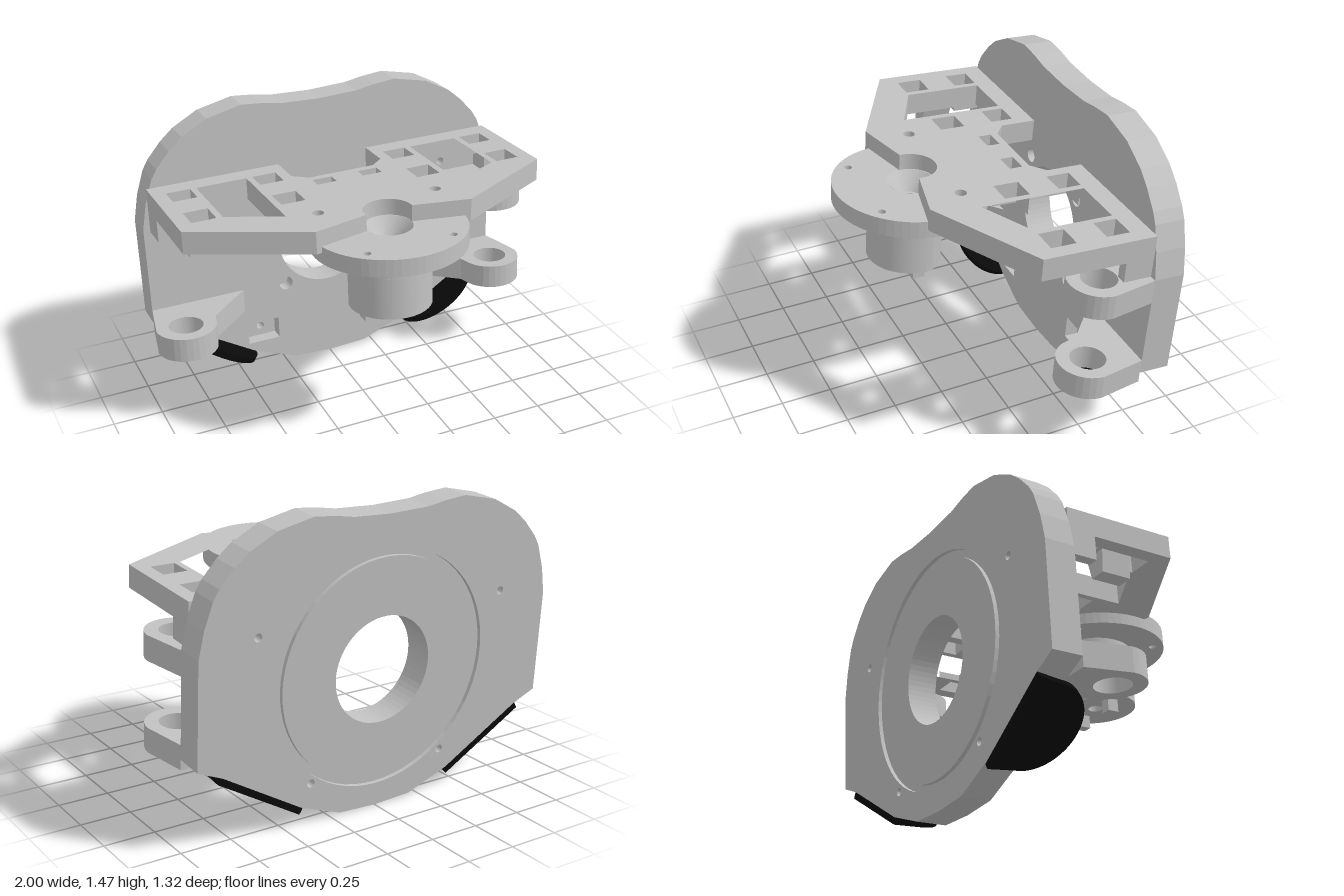
import * as THREE from 'three';

const grey = new THREE.MeshStandardMaterial({ color: 0xc0c0c0 });
grey.name = 'light grey';
const black = new THREE.MeshStandardMaterial({ color: 0x0a0a0a });
black.name = 'black';
const greyOpen = grey.clone();
greyOpen.side = THREE.DoubleSide;

const poly = (pts) => new THREE.Shape(pts.map(([x, y]) => new THREE.Vector2(x, y)));
const rect = (x, y, w, h) => poly([[x - w / 2, y - h / 2], [x + w / 2, y - h / 2], [x + w / 2, y + h / 2], [x - w / 2, y + h / 2]]);
const disc = (x, y, r) => new THREE.Shape().absarc(x, y, r, 0, Math.PI * 2, false);
// Half outline from the centre line at the bottom to the top, mirrored in x
const mirrored = (half) => poly([...half, ...half.slice().reverse().filter(([x]) => x !== 0).map(([x, y]) => [-x, y])]);

function add(group, name, geometry, material = grey) {
  const mesh = new THREE.Mesh(geometry, material);
  mesh.name = name;
  group.add(mesh);
  return mesh;
}

// Upright slab: shape in x, y, reaching from z0 to z1
function upright(shape, holes, z0, z1) {
  shape.holes.push(...holes);
  return new THREE.ExtrudeGeometry(shape, { depth: z1 - z0, bevelEnabled: false, curveSegments: 32 }).translate(0, 0, z0);
}

// Level slab: shape in x, -z, reaching from y0 to y1
function level(shape, holes, y0, y1) {
  return upright(shape, holes, y0, y1).rotateX(-Math.PI / 2);
}

const OUTLINE = [[0, 0], [0.2, 0.01], [0.42, 0.095], [0.83, 0.345], [0.955, 0.4], [0.955, 0.91],
  [0.93, 1.04], [0.89, 1.16], [0.86, 1.21], [0.79, 1.29], [0.72, 1.35], [0.59, 1.42],
  [0.41, 1.46], [0.3, 1.45], [0.2, 1.433], [0, 1.425]];
const CY = 0.69; // height of the central opening

function addBackPlate(g) {
  const plate = new THREE.Group();
  plate.name = 'backPlate';
  const screws = () => [-1, 1].flatMap((s) => [disc(s * 0.37, 0.205, 0.02), disc(s * 0.67, 0.965, 0.02)]);
  const bore = () => disc(0, CY, 0.26);

  // Front layer with nut pockets and blind bolt holes
  const front = [bore()];
  for (const s of [-1, 1]) {
    front.push(rect(s * 0.375, 0.208, 0.17, 0.115), disc(s * 0.67, 0.965, 0.02));
    for (const d of [-0.235, 0.235]) front.push(disc(s * 0.235, CY + d, 0.036));
  }
  add(plate, 'plateFront', upright(mirrored(OUTLINE), front, -0.07, 0));
  add(plate, 'plateCore', upright(mirrored(OUTLINE), [bore(), ...screws()], -0.13, -0.07));

  // Rear layer, split by a ring groove
  add(plate, 'plateRearOuter', upright(mirrored(OUTLINE), [disc(0, CY, 0.575), ...screws()], -0.15, -0.13));
  add(plate, 'plateRearInner', upright(disc(0, CY, 0.54), [bore()], -0.15, -0.13));
  g.add(plate);
}

function addShelf(g) {
  const half = [[0.24, 0], [0.92, 0], [0.92, -0.56], [0.39, -0.845], [0.115, -0.78]];
  const shape = new THREE.Shape();
  shape.moveTo(0.24, 0);
  half.slice(1).forEach(([x, y]) => shape.lineTo(x, y));
  // Round notch around the funnel
  shape.absarc(0, -0.765, 0.116, -0.13, Math.PI + 0.13, false);
  half.slice().reverse().forEach(([x, y]) => shape.lineTo(-x, y));
  // Clearance at the back, with chamfered corners
  [[-0.24, -0.18], [-0.17, -0.24], [0.17, -0.24], [0.24, -0.18]].forEach(([x, y]) => shape.lineTo(x, y));

  const holes = [];
  for (const s of [-1, 1]) {
    for (const x of [0.353, 0.79]) {
      holes.push(rect(s * x, -0.155, 0.12, 0.115), rect(s * x, -0.425, 0.12, 0.125));
    }
    holes.push(poly([[0.445, -0.1], [0.7, -0.1], [0.7, -0.49], [0.445, -0.62]].map(([x, y]) => [s * x, y])));
    holes.push(rect(s * 0.12, -0.31, 0.1, 0.065), disc(s * 0.3, -0.655, 0.028));
  }
  add(g, 'shelf', level(shape, holes, 1.01, 1.12));

  // Short gussets below the shelf ends
  for (const s of [-1, 1]) {
    add(g, 'shelfGusset', new THREE.BoxGeometry(0.05, 0.12, 0.14).translate(s * 0.895, 0.955, 0.07));
  }
  add(g, 'shelfTab', upright(poly([[-0.84, 0.9], [-0.76, 0.9], [-0.73, 1.015], [-0.85, 1.015]]), [], 0.23, 0.38));
}

// Eyelet arm standing out from the plate
function addArm(g, name, side, y0, y1) {
  const cx = 0.85, cz = 0.225, r = 0.15;
  const pts = [[0.955, 0], [1, -cz]];
  for (let i = 1; i <= 14; i++) {
    const a = -i / 14 * Math.PI * 0.93;
    pts.push([cx + r * Math.cos(a), -cz + r * Math.sin(a)]);
  }
  pts.push([0.69, -0.2], [0.47, 0]);
  const shape = poly(pts.map(([x, y]) => [side * x, y]));
  add(g, name, level(shape, [disc(side * cx, -cz, 0.085)], y0, y1));
}

function addHub(g) {
  const hub = new THREE.Group();
  hub.name = 'hub';
  hub.position.z = 0.77;
  const bore = () => disc(0, 0, 0.036);

  const holes = [disc(0, 0, 0.115)];
  for (const s of [-1, 1]) holes.push(disc(s * 0.215, -0.23, 0.018), disc(s * 0.215, 0.23, 0.018));
  add(hub, 'flange', level(disc(0, 0, 0.37), holes, 0.955, 1.04));

  // Funnel leading down into the bore
  const profile = [[0.036, 0.94], [0.05, 0.94], [0.05, 0.965], [0.115, 1.04]].map(([x, y]) => new THREE.Vector2(x, y));
  add(hub, 'funnel', new THREE.LatheGeometry(profile, 40), greyOpen);
  add(hub, 'barrelTop', level(disc(0, 0, 0.2), [bore()], 0.86, 0.955));

  // Lower barrel, flattened at the back
  const lower = new THREE.Shape();
  lower.absarc(0, 0, 0.2, Math.PI - 0.25, Math.PI * 2 + 0.25, false);
  lower.lineTo(0.12, 0.12);
  lower.lineTo(-0.12, 0.12);
  add(hub, 'barrel', level(lower, [bore()], 0.655, 0.86));
  add(hub, 'toothedCollar', level(poly(Array.from({ length: 32 }, (_, i) => {
    const a = i / 32 * Math.PI * 2, r = i % 2 ? 0.135 : 0.155;
    return [r * Math.cos(a), r * Math.sin(a)];
  })), [bore()], 0.8, 0.86));
  for (const s of [-1, 1]) {
    add(hub, 'terminal', new THREE.BoxGeometry(0.05, 0.07, 0.06).translate(s * 0.12, 0.625, 0));
  }
  g.add(hub);
}

// Thin rounded flap under each lower edge of the plate
function addFlap(g, side) {
  const shape = new THREE.Shape();
  shape.moveTo(-0.25, 0.15);
  shape.lineTo(-0.235, 0.02);
  shape.absellipse(0, 0.02, 0.235, 0.19, Math.PI, Math.PI * 2, false);
  shape.lineTo(0.25, 0.15);
  const flap = add(g, 'flap', level(shape, [], -0.03, 0.002), black);
  flap.rotation.z = side * 0.545;
  flap.position.set(side * 0.625, 0.216, 0);
}

export function createModel() {
  const model = new THREE.Group();
  model.name = 'mountingBracket';

  // The whole bracket leans slightly backwards
  const body = new THREE.Group();
  body.name = 'leaningBody';
  body.rotation.x = -0.069;
  body.position.set(0, 0.013, -0.412);
  model.add(body);

  addBackPlate(body);
  addShelf(body);
  addHub(body);
  for (const side of [-1, 1]) {
    addArm(body, 'lowerArm', side, 0.35, 0.47);
    addFlap(body, side);
  }
  addArm(body, 'upperArm', 1, 0.79, 0.91);
  return model;
}
